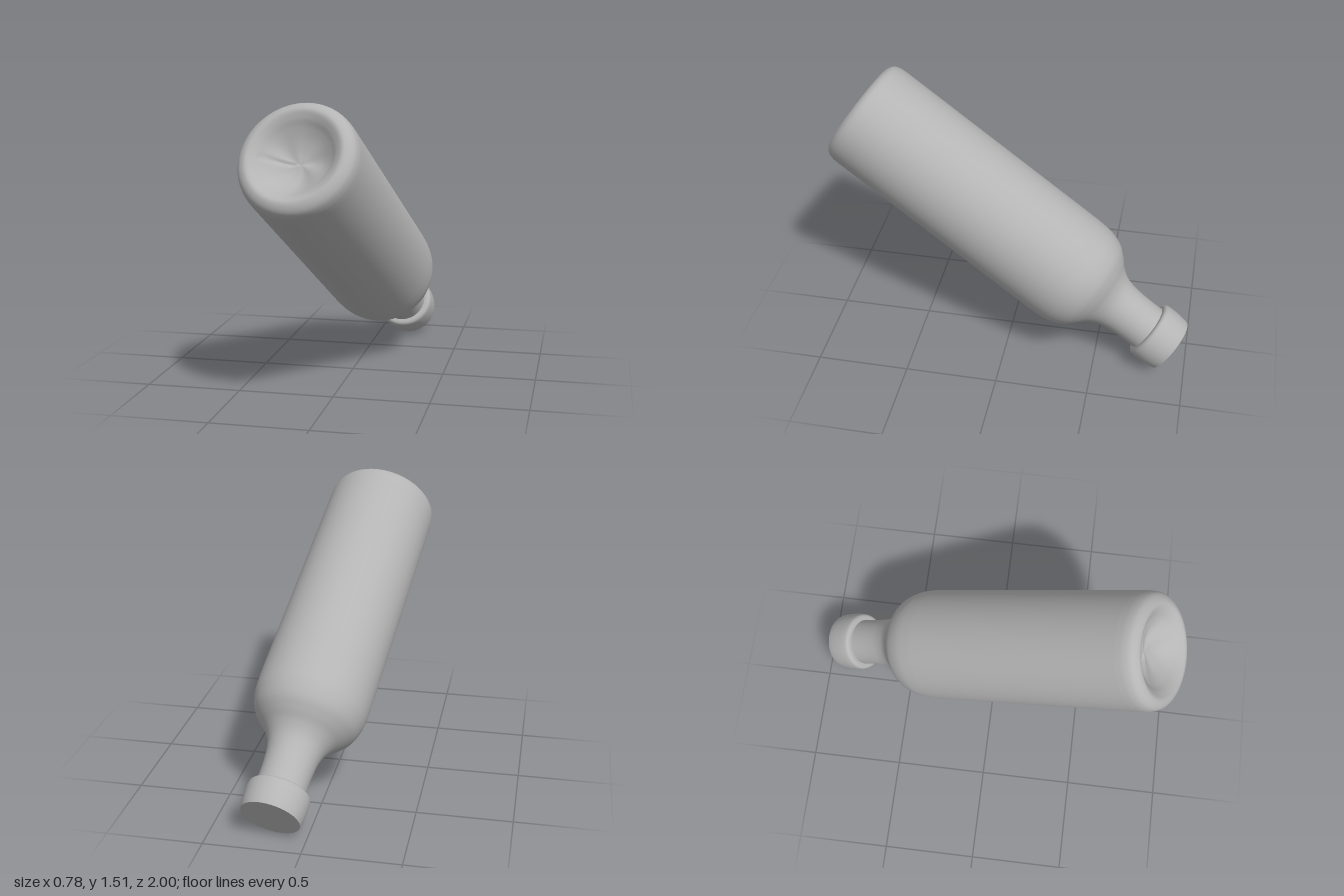
import * as THREE from 'three';
import { mergeVertices } from 'three/addons/utils/BufferGeometryUtils.js';

const SEGMENTS = 72;

// Smooth curve through [radius, height] pairs
function smoothProfile(pairs, steps) {
  const curve = new THREE.CatmullRomCurve3(
    pairs.map(([r, h]) => new THREE.Vector3(r, h, 0)), false, 'centripetal');
  return curve.getPoints(steps).map(p => new THREE.Vector2(Math.max(p.x, 0), p.y));
}

export function createModel() {
  const grey = new THREE.MeshStandardMaterial({ color: 0xb4b4b4 });
  grey.name = 'plain grey';

  const bottle = new THREE.Group();
  bottle.name = 'bottle';

  function turned(name, points) {
    const mesh = new THREE.Mesh(new THREE.LatheGeometry(points, SEGMENTS), grey);
    mesh.name = name;
    bottle.add(mesh);
    return mesh;
  }

  // Hollow, slightly crumpled base with a rounded rim
  const base = turned('base', smoothProfile([
    [0, 0.075], [0.06, 0.068], [0.12, 0.045], [0.17, 0.012], [0.205, -0.018],
    [0.24, -0.036], [0.268, -0.028], [0.29, -0.008], [0.301, 0.025], [0.304, 0.07],
  ], 48));
  const pos = base.geometry.attributes.position;
  for (let i = 0; i < pos.count; i++) {
    const x = pos.getX(i), z = pos.getZ(i), r = Math.hypot(x, z);
    const a = Math.atan2(z, x);
    const fade = Math.sin(Math.PI * Math.min(r / 0.22, 1));
    // Soft folds, then one narrow crease running out towards the right
    let lift = 0.005 * fade * (Math.sin(3 * a + 0.6) + 0.6 * Math.sin(5 * a + 14 * r));
    const offset = (z - 0.02 - 0.13 * (-x - 0.18)) / 0.009;
    if (x < -0.03 && x > -0.19) lift += 0.015 * fade * Math.exp(-offset * offset);
    pos.setY(i, pos.getY(i) + lift);
  }
  base.geometry.deleteAttribute('uv');
  base.geometry.deleteAttribute('normal');
  base.geometry = mergeVertices(base.geometry, 1e-5);
  base.geometry.computeVertexNormals();

  // Straight wall
  turned('body', [new THREE.Vector2(0.304, 0.07), new THREE.Vector2(0.306, 1.3)]);

  // Rounded shoulder sweeping into the neck
  turned('shoulderAndNeck', smoothProfile([
    [0.306, 1.3], [0.305, 1.38], [0.298, 1.46], [0.272, 1.535], [0.232, 1.585],
    [0.187, 1.63], [0.155, 1.68], [0.138, 1.74], [0.131, 1.81], [0.129, 1.88], [0.13, 1.965],
  ], 60));

  // Raised lip with softened edges
  turned('lip', smoothProfile([
    [0.128, 1.938], [0.15, 1.94], [0.161, 1.95], [0.165, 1.975],
    [0.164, 2.03], [0.16, 2.07], [0.155, 2.095],
  ], 28));

  // Flat closed mouth
  turned('mouth', [new THREE.Vector2(0.155, 2.095), new THREE.Vector2(0, 2.095)]);

  // Tilt the whole bottle, mouth down and to the back
  const axis = new THREE.Vector3(0.129, -0.542, -0.83).normalize();
  const side = new THREE.Vector3(1, 0, 0).addScaledVector(axis, -axis.x).normalize();
  const up = new THREE.Vector3().crossVectors(side, axis);
  bottle.quaternion.setFromRotationMatrix(new THREE.Matrix4().makeBasis(side, axis, up));
  bottle.position.set(-0.097, 1.27, 0.83);

  const model = new THREE.Group();
  model.name = 'tiltedBottle';
  model.add(bottle);
  return model;
}
